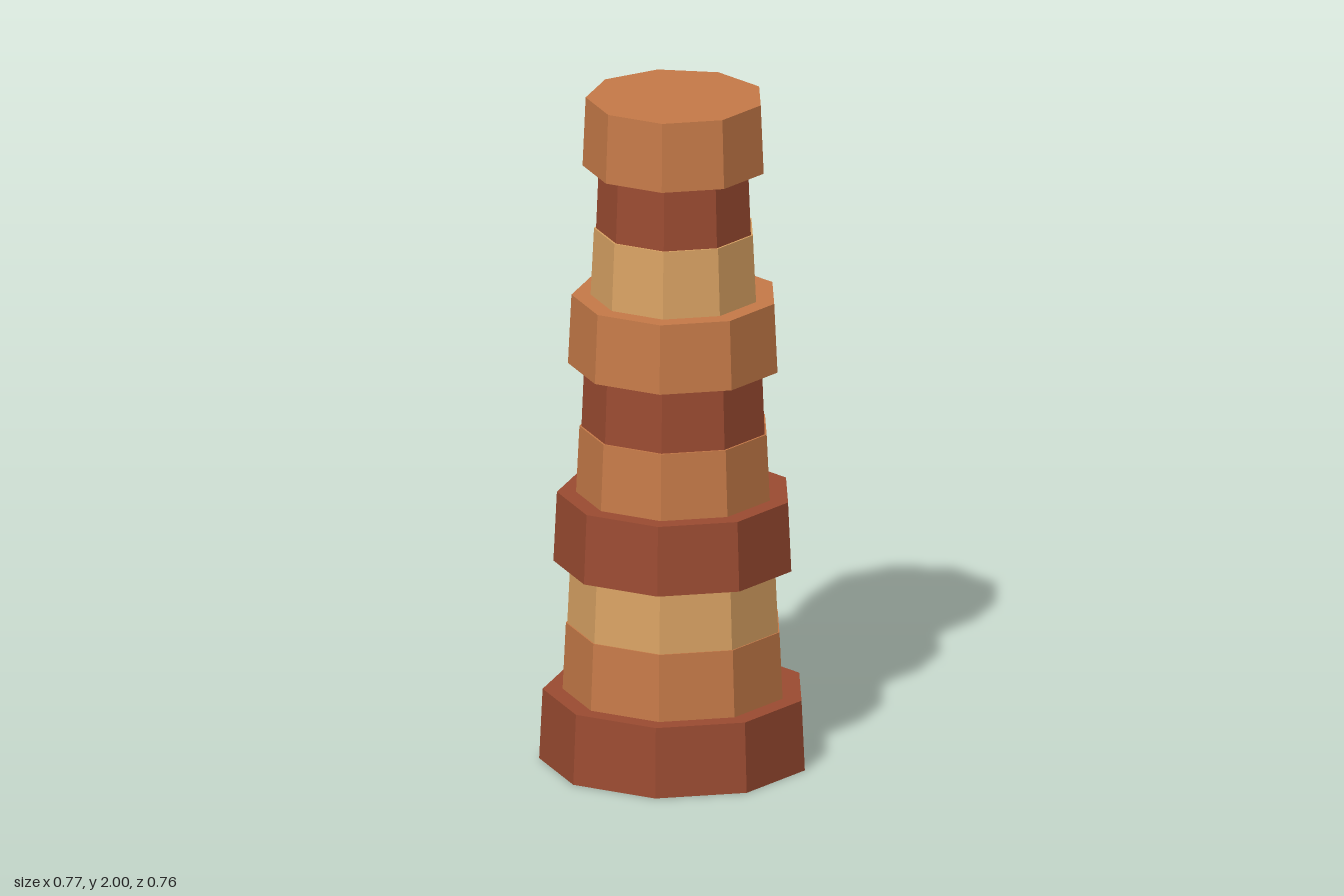
import * as THREE from 'three';

export function createModel() {
  const group = new THREE.Group();
  group.name = 'steppedTower';

  const paint = (name, color) => {
    const m = new THREE.MeshStandardMaterial({ color });
    m.name = name;
    return m;
  };
  const red = paint('redBrown', 0x9b4b31);
  const orange = paint('orangeBrown', 0xc67a48);
  const tan = paint('tan', 0xd9a263);

  // Nine-sided tapered blocks: name, material, bottom y, top y, bottom radius, top radius
  const blocks = [
    ['baseBand', red, 0, 0.21, 0.393, 0.383],
    ['lowerShaftBottom', orange, 0.2, 0.41, 0.326, 0.316],
    ['lowerShaftTop', tan, 0.41, 0.602, 0.312, 0.303],
    ['lowerBand', red, 0.598, 0.806, 0.352, 0.342],
    ['middleShaftBottom', orange, 0.8, 1.005, 0.287, 0.277],
    ['middleShaftTop', red, 1.005, 1.2, 0.271, 0.263],
    ['upperBand', orange, 1.196, 1.403, 0.31, 0.3],
    ['upperShaftBottom', tan, 1.4, 1.604, 0.245, 0.235],
    ['upperShaftTop', red, 1.604, 1.8, 0.229, 0.221],
    ['topBand', orange, 1.794, 2, 0.268, 0.259],
  ];

  for (const [name, material, y0, y1, r0, r1] of blocks) {
    // One corner points to the back, a flat side to the front
    const cylinder = new THREE.CylinderGeometry(r1, r0, y1 - y0, 9, 1, false, Math.PI);
    const geometry = cylinder.toNonIndexed();
    geometry.computeVertexNormals();
    const mesh = new THREE.Mesh(geometry, material);
    mesh.name = name;
    mesh.position.set(0, (y0 + y1) / 2, 0.012);
    group.add(mesh);
  }
  return group;
}
